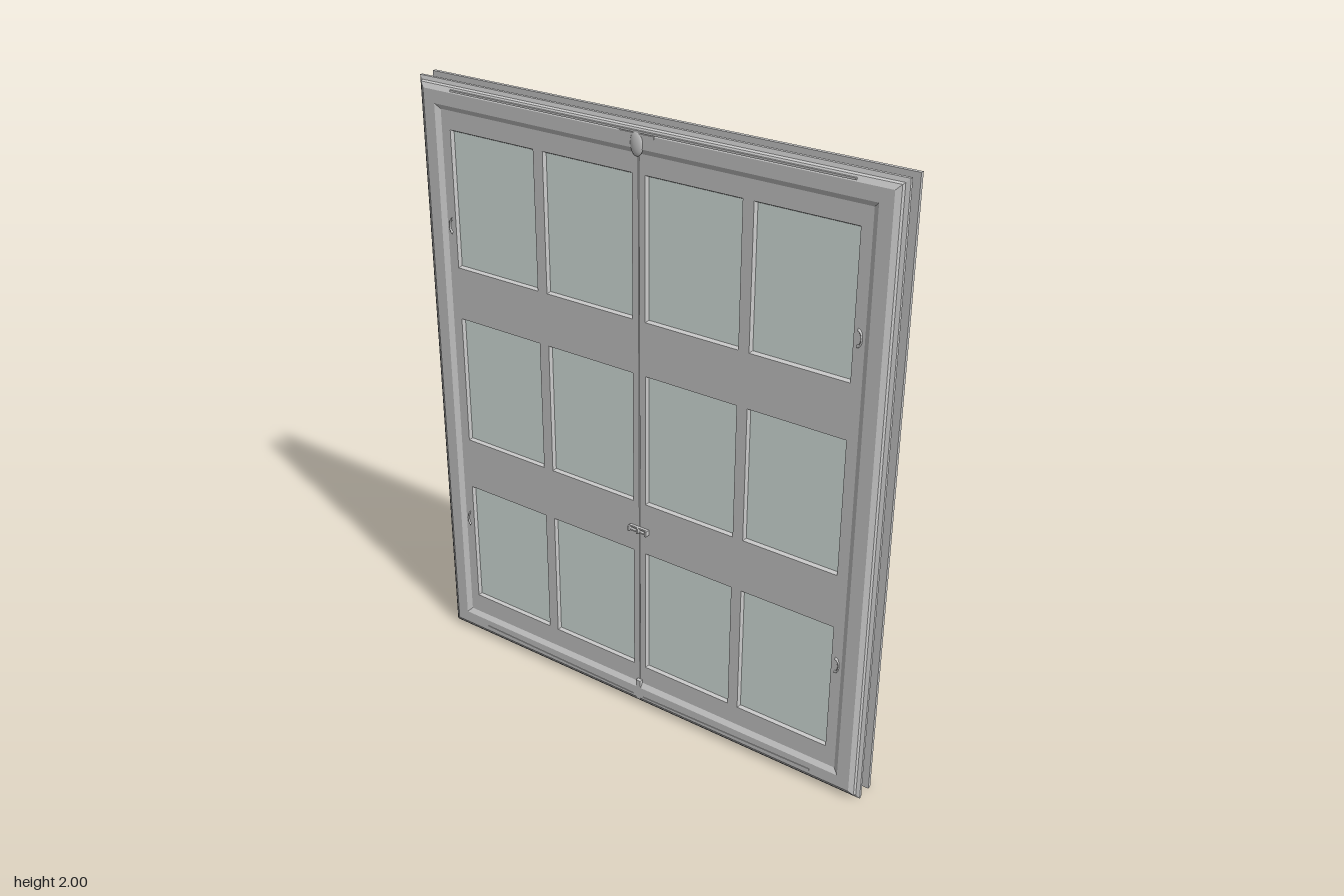
import * as THREE from 'three';

const W = 0.83, H = 2;
const grey = new THREE.MeshStandardMaterial({ color: 0xcccccc, flatShading: true });
const smooth = new THREE.MeshStandardMaterial({ color: 0xcccccc });
const glass = new THREE.MeshStandardMaterial({ color: 0xdce8e4 });

function add(parent, name, geometry, x = 0, y = 0, z = 0, material = grey) {
  const mesh = new THREE.Mesh(geometry, material);
  mesh.name = name;
  mesh.position.set(x, y, z);
  parent.add(mesh);
  return mesh;
}

// Rectangular moulding: loops of [inset, z] around the box x0..x1, y0..y1
function moulding(x0, x1, y0, y1, loops) {
  const pos = [], index = [];
  for (const [d, z] of loops) {
    pos.push(x0 + d, y0 + d, z, x1 - d, y0 + d, z, x1 - d, y1 - d, z, x0 + d, y1 - d, z);
  }
  for (let i = 0; i < loops.length - 1; i++) {
    for (let j = 0; j < 4; j++) {
      const a = i * 4 + j, b = i * 4 + (j + 1) % 4;
      index.push(a, b, b + 4, a, b + 4, a + 4);
    }
  }
  const g = new THREE.BufferGeometry();
  g.setAttribute('position', new THREE.Float32BufferAttribute(pos, 3));
  g.setIndex(index);
  g.computeVertexNormals();
  return g;
}

function rect(x0, x1, y0, y1, Type = THREE.Shape) {
  return new Type([[x0, y0], [x1, y0], [x1, y1], [x0, y1]].map(p => new THREE.Vector2(...p)));
}

function slab(shape, depth) {
  return new THREE.ExtrudeGeometry(shape, { depth, bevelEnabled: false, curveSegments: 12 });
}

// Louvre opening; arched ones rise in an S curve to the middle
function opening(x0, x1, y0, y1, rise, Type) {
  const s = new Type(), m = (x0 + x1) / 2, w = (x1 - x0) / 2;
  s.moveTo(x0, y0);
  s.lineTo(x1, y0);
  s.lineTo(x1, y1);
  if (rise) {
    s.lineTo(x1 - w * 0.25, y1);
    s.bezierCurveTo(m + w * 0.4, y1, m + w * 0.4, y1 + rise, m, y1 + rise);
    s.bezierCurveTo(m - w * 0.4, y1 + rise, m - w * 0.4, y1, x0 + w * 0.25, y1);
  }
  s.lineTo(x0, y1);
  s.closePath();
  return s;
}

// Woven strand: a flat bar waving in and out, fullest where it comes forward
function strand(width, phase) {
  const g = new THREE.BoxGeometry(width, 0.026, 0.004, 56, 1, 1), p = g.attributes.position;
  for (let i = 0; i < p.count; i++) {
    const wave = Math.sin(p.getX(i) * Math.PI / 0.065 + phase);
    p.setY(i, p.getY(i) * (0.85 + 0.3 * wave));
    p.setZ(i, p.getZ(i) + 0.007 * wave);
  }
  g.computeVertexNormals();
  return g;
}

function buildFront() {
  const front = new THREE.Group();
  front.name = 'glazedFront';
  add(front, 'frontFrame', moulding(-W, W, 0, H, [
    [0.075, 0.022], [0, 0.022], [0, 0.032], [0.012, 0.036], [0.015, 0.046],
    [0.03, 0.055], [0.072, 0.055], [0.09, 0.044], [0.09, 0.022]]));

  // Two casement leaves with six panes each
  const cols = [[0.02, 0.35], [0.38, 0.71]];
  const rows = [[0.155, 0.605], [0.78, 1.23], [1.4, 1.855]];
  for (const side of [-1, 1]) {
    const span = (a, b) => side > 0 ? [a, b] : [-b, -a];
    const leaf = rect(...span(0.0015, 0.745), 0.085, 1.915);
    for (const c of cols) for (const r of rows) {
      const [x0, x1] = span(...c);
      leaf.holes.push(rect(x0, x1, ...r, THREE.Path));
      add(front, 'paneBead', moulding(x0, x1, ...r,
        [[-0.004, 0.046], [0.003, 0.046], [0.009, 0.034]]));
      add(front, 'glassPane', new THREE.BoxGeometry(x1 - x0, r[1] - r[0], 0.006),
        (x0 + x1) / 2, (r[0] + r[1]) / 2, 0.032, glass);
    }
    add(front, 'casement', slab(leaf, 0.023), 0, 0, 0.022);
    // Curved hinge knuckles
    for (const y of [0.47, 1.54]) {
      const hinge = add(front, 'frontHinge',
        new THREE.TorusGeometry(0.024, 0.005, 6, 12, Math.PI), side * 0.72, y, 0.046, smooth);
      hinge.rotation.z = -side * Math.PI / 2;
      hinge.scale.y = 0.5;
    }
  }
  add(front, 'meetingStrip', new THREE.BoxGeometry(0.02, 1.83, 0.004), 0, 1, 0.026);

  // Top catch, bottom bolt and centre handle
  const drop = add(front, 'topCatch', new THREE.SphereGeometry(0.025, 14, 10), 0, 1.942, 0.053, smooth);
  drop.scale.set(0.9, 1.5, 0.35);
  add(front, 'catchPlate', new THREE.BoxGeometry(0.12, 0.008, 0.006), 0, 1.968, 0.054);
  add(front, 'bottomBolt', new THREE.BoxGeometry(0.018, 0.075, 0.012), 0, 0.063, 0.051);
  for (const y of [0.678, 0.692]) {
    add(front, 'handleBar', new THREE.BoxGeometry(0.07, 0.005, 0.01), 0, y, 0.049);
  }
  for (const x of [-0.033, 0, 0.033]) {
    add(front, 'handlePost', new THREE.BoxGeometry(0.006, 0.018, 0.018), x, 0.685, 0.053);
  }
  add(front, 'topSealStrip', new THREE.BoxGeometry(1.38, 0.006, 0.006), 0, 1.977, 0.054);
  for (const side of [-1, 1]) {
    const strip = add(front, 'bottomSealStrip',
      new THREE.BoxGeometry(0.64, 0.006, 0.006), side * 0.34, 0.042, 0.054);
    strip.rotation.z = side * 0.015;
  }
  return front;
}

// Built facing +z and then turned round
function buildBack() {
  const back = new THREE.Group();
  back.name = 'wovenBack';
  back.rotation.y = Math.PI;
  add(back, 'backFrame', moulding(-W, W, 0, H, [
    [0.075, 0.024], [0, 0.024], [0, 0.036], [0.008, 0.04], [0.02, 0.055]]));

  const panel = rect(-W + 0.02, W - 0.02, 0.02, H - 0.02);
  const even = strand(0.54, 0), odd = strand(0.54, Math.PI);
  const levels = [[0.2, 1.06, 0], [1.15, 1.695, 0.085]];
  for (const side of [-1, 1]) for (const [y0, y1, rise] of levels) {
    const cx = side * 0.365, x0 = cx - 0.26, x1 = cx + 0.26;
    panel.holes.push(opening(x0, x1, y0, y1, rise, THREE.Path));

    // Slim bead around the opening, with a ledge below
    const bead = opening(x0 - 0.014, x1 + 0.014, y0 - 0.014, y1 + 0.014, rise, THREE.Shape);
    bead.holes.push(opening(x0, x1, y0, y1, rise, THREE.Path));
    add(back, 'panelBead', slab(bead, 0.005), 0, 0, 0.053);
    add(back, 'panelLedge', new THREE.BoxGeometry(0.55, 0.014, 0.006), cx, y0 - 0.016, 0.056);

    // Weave of waving strands over upright stakes
    const top = y1 + rise, count = Math.floor((top - y0) / 0.033);
    for (let i = 0; i <= count; i++) {
      add(back, 'wovenStrand', i % 2 ? odd : even, cx, y0 + 0.012 + i * 0.033, 0.043, smooth);
    }
    for (let i = -4; i <= 4; i++) {
      add(back, 'weaveStake', new THREE.BoxGeometry(0.02, top - y0, 0.004),
        cx + i * 0.065, (top + y0) / 2, 0.041);
    }
  }
  add(back, 'backPanel', slab(panel, 0.031), 0, 0, 0.024);

  // Hinges
  for (const side of [-1, 1]) for (const y of [0.47, 1.54]) {
    add(back, 'hingeLeaf', new THREE.BoxGeometry(0.022, 0.04, 0.004), side * 0.727, y, 0.057);
    add(back, 'hingePin', new THREE.CylinderGeometry(0.005, 0.005, 0.054, 10),
      side * 0.735, y, 0.061, smooth);
  }
  return back;
}

export function createModel() {
  const model = new THREE.Group();
  model.name = 'window';
  // Lining set back between the front and back frames
  const lining = rect(-0.775, 0.775, 0.055, 1.95);
  lining.holes.push(rect(-0.735, 0.735, 0.095, 1.91, THREE.Path));
  add(model, 'lining', slab(lining, 0.05), 0, 0, -0.025);
  model.add(buildFront(), buildBack());
  return model;
}
